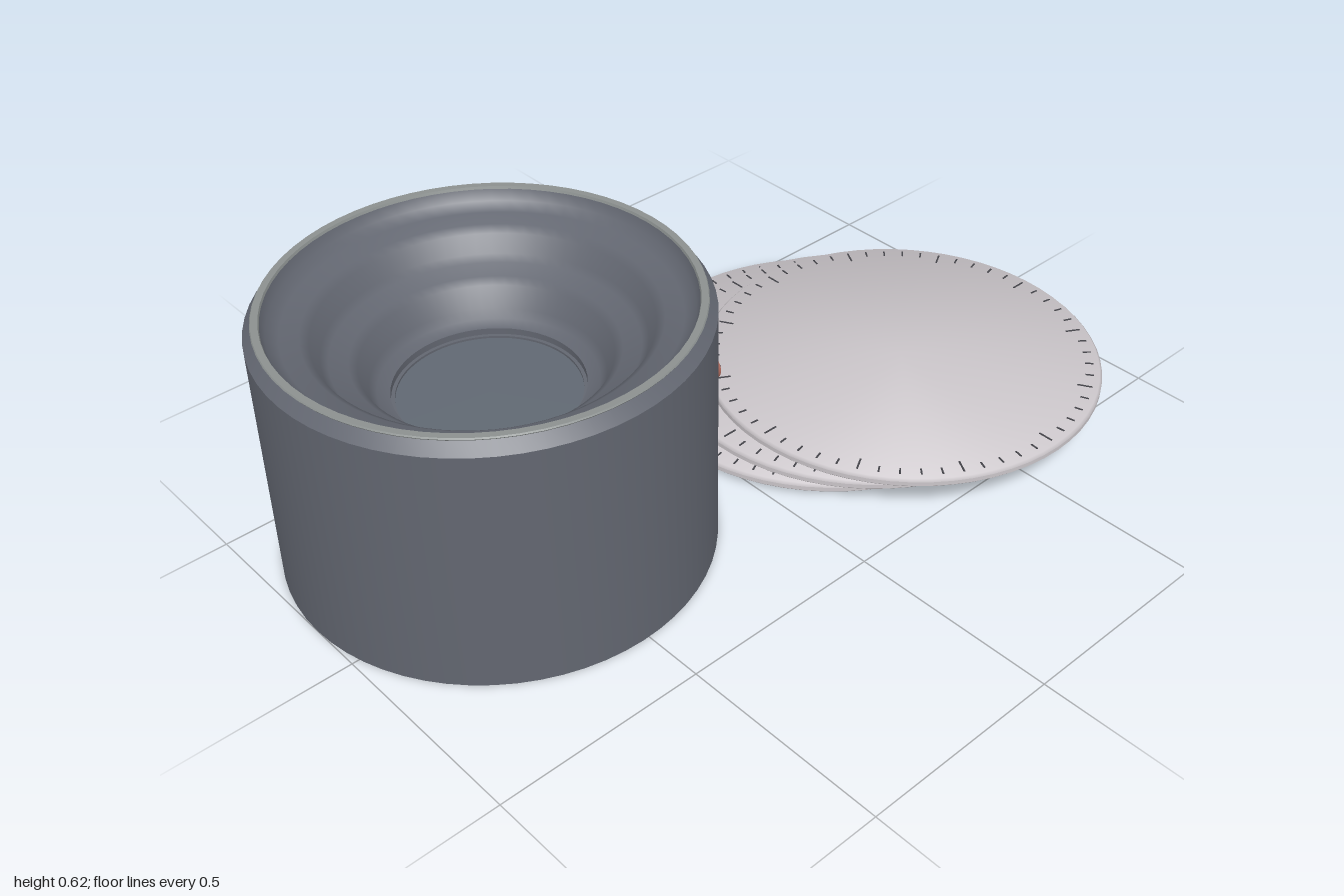
import * as THREE from 'three';
import { mergeGeometries, toCreasedNormals } from 'three/addons/utils/BufferGeometryUtils.js';

const flat = (name, color) => {
  const m = new THREE.MeshStandardMaterial({ color });
  m.name = name;
  return m;
};

const SEGMENTS = 64;

// Revolve [radius, height] points, keeping sharp edges crisp
function lathe(points, crease = 0.45) {
  const g = new THREE.LatheGeometry(points.map(([r, y]) => new THREE.Vector2(r, y)), SEGMENTS);
  return toCreasedNormals(g, crease);
}

// Sixty tick marks around a dial, every fifth one longer
function tickGeometry() {
  const ticks = [];
  for (let i = 0; i < 60; i++) {
    const length = i % 5 === 0 ? 0.036 : 0.02;
    const g = new THREE.BoxGeometry(0.004, 0.002, length);
    g.translate(0, 0, 0.464 - length / 2);
    g.rotateY((i * Math.PI) / 30);
    ticks.push(g);
  }
  return mergeGeometries(ticks);
}

export function createModel() {
  const slate = flat('slate housing', 0x626670);
  const glass = flat('blue grey floor', 0x606872);
  const steel = flat('rim steel', 0x8b908f);
  const pale = flat('pale disc', 0xcac5c9);
  const ink = flat('dark ticks', 0x44444a);
  const copper = flat('copper knob', 0xb06a5c);

  const model = new THREE.Group();
  const add = (parent, name, geometry, material, x = 0, y = 0, z = 0) => {
    const mesh = new THREE.Mesh(geometry, material);
    mesh.name = name;
    mesh.position.set(x, y, z);
    parent.add(mesh);
    return mesh;
  };

  // Round housing with a chamfered top edge and a stepped bowl
  const drum = new THREE.Group();
  drum.name = 'drum';
  drum.position.set(-0.515, 0, -0.13);
  model.add(drum);
  add(drum, 'housing', lathe([
    [0, 0], [0.485, 0], [0.485, 0.59], [0.458, 0.617], [0.45, 0.617],
  ]), slate);
  add(drum, 'steppedBowl', lathe([
    [0.45, 0.617], [0.44, 0.59], [0.415, 0.575], [0.375, 0.568], [0.357, 0.555],
    [0.34, 0.512], [0.325, 0.498], [0.285, 0.488], [0.268, 0.475],
    [0.25, 0.425], [0.235, 0.408], [0.208, 0.4], [0.208, 0.385], [0.2, 0.385], [0.2, 0.38],
  ], 0.9), slate);
  add(drum, 'bowlFloor', lathe([[0.2, 0.38], [0, 0.38]]), glass);
  add(drum, 'rimRing', lathe([
    [0.448, 0.616], [0.465, 0.616], [0.467, 0.619], [0.465, 0.622], [0.45, 0.622], [0.448, 0.616],
  ]), steel);

  // Side knob
  const knob = new THREE.CylinderGeometry(0.034, 0.034, 0.097, 32).rotateZ(Math.PI / 2);
  add(model, 'sideKnob', knob, copper, 0.0075, 0.21, -0.056);

  // Three graduated discs, fanned out one above another
  const discShape = lathe([
    [0, -0.011], [0.478, -0.011], [0.484, -0.005], [0.484, 0.005], [0.478, 0.011], [0, 0.011],
  ], 0.9);
  const ticks = tickGeometry();
  [
    ['lowerDisc', 0.436, 0.021, -0.055],
    ['middleDisc', 0.476, 0.063, 0.037],
    ['upperDisc', 0.516, 0.105, 0.13],
  ].forEach(([name, x, y, z]) => {
    const disc = new THREE.Group();
    disc.name = name;
    disc.position.set(x, y, z);
    model.add(disc);
    add(disc, 'plate', discShape, pale);
    add(disc, 'tickMarks', ticks, ink, 0, 0.0115, 0);
  });

  return model;
}
